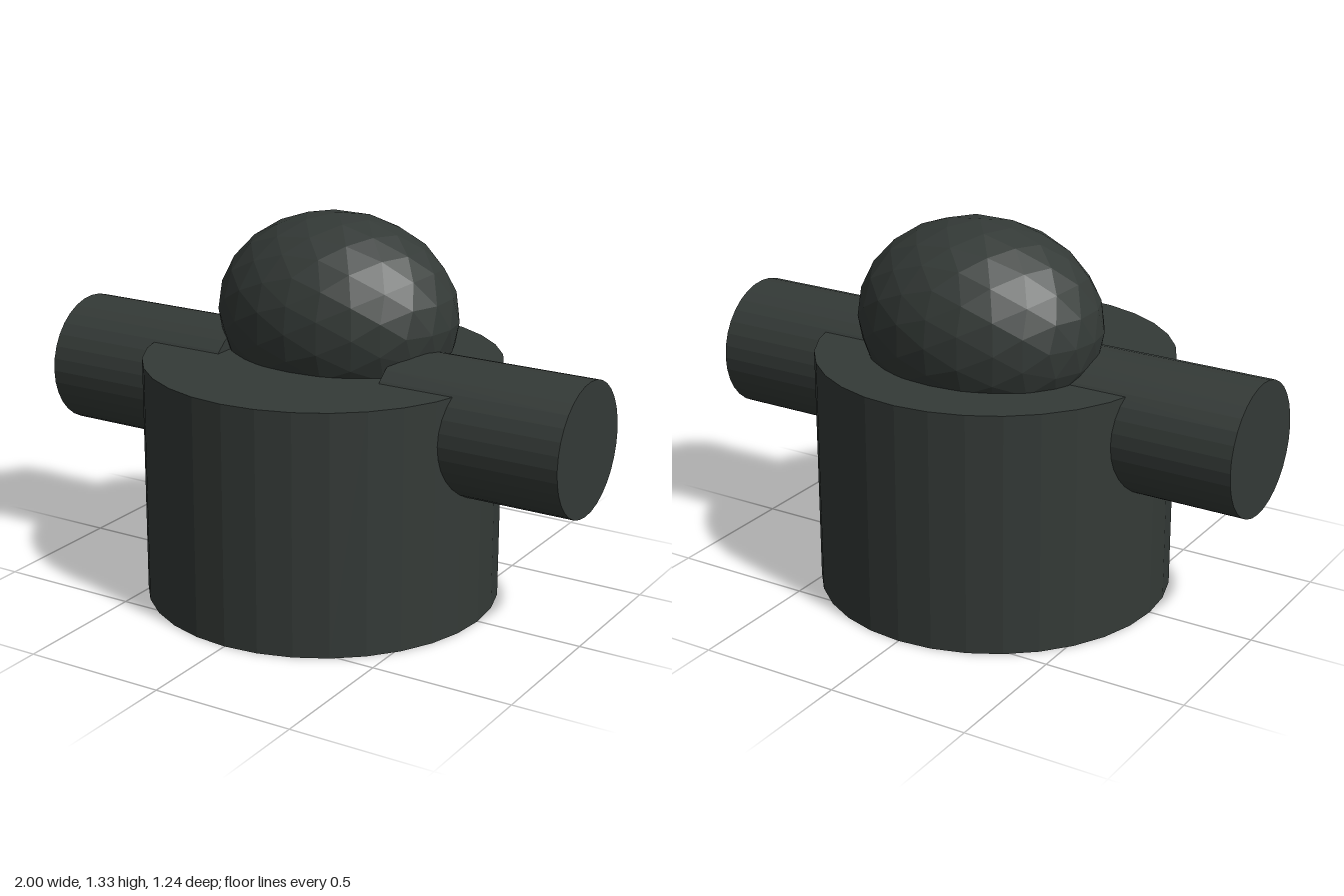
import * as THREE from 'three';

export function createModel() {
  const group = new THREE.Group();
  const material = new THREE.MeshStandardMaterial({ color: 0x343a37, flatShading: true });

  const add = (name, geometry, x, y, z) => {
    const mesh = new THREE.Mesh(geometry, material);
    mesh.name = name;
    mesh.position.set(x, y, z);
    group.add(mesh);
    return mesh;
  };

  // Upright drum body
  const bodyHeight = 0.845;
  add('body', new THREE.CylinderGeometry(0.62, 0.62, bodyHeight, 32), 0, bodyHeight / 2, 0);

  // Two stub arms, sunk into the upper body and ending inside the head
  const inner = 0.32, outer = 1;
  for (const [name, side] of [['leftArm', 1], ['rightArm', -1]]) {
    const arm = new THREE.CylinderGeometry(0.23, 0.23, outer - inner, 32);
    arm.rotateZ(Math.PI / 2);
    add(name, arm, side * (inner + outer) / 2, 0.69, 0);
  }

  // Faceted head: an icosahedron halved twice, widened sideways and set back
  const once = new THREE.IcosahedronGeometry(1, 1).getAttribute('position');
  const corners = Array.from(once.array);
  const faces = Array.from({ length: once.count }, (_, i) => i);
  const head = new THREE.PolyhedronGeometry(corners, faces, 1, 1);
  head.scale(0.44, 0.35, 0.348);
  add('head', head, 0, 0.981, -0.098);

  return group;
}
